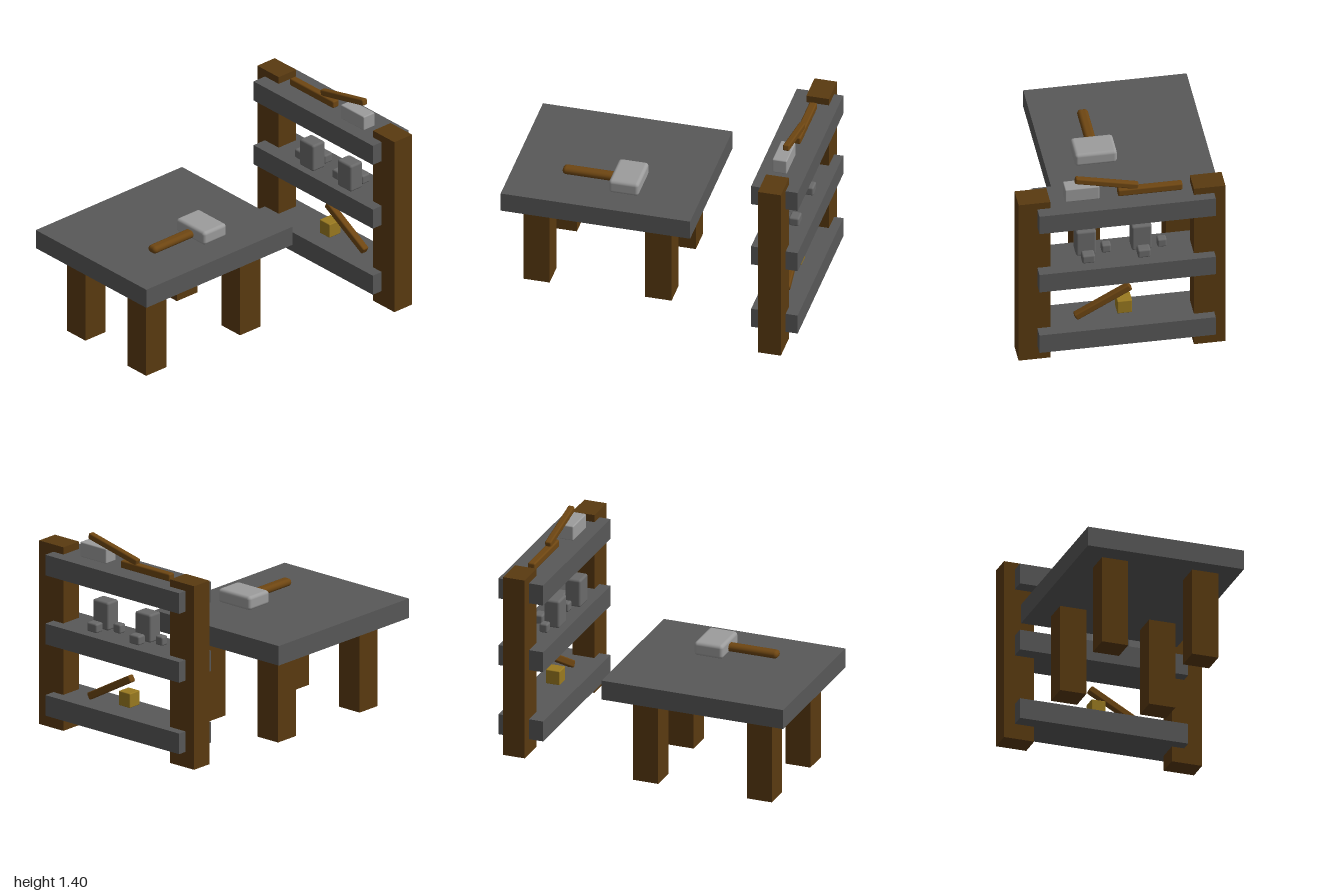
import * as THREE from 'three';
import { RoundedBoxGeometry } from 'three/addons/geometries/RoundedBoxGeometry.js';

const paint = (color) => new THREE.MeshStandardMaterial({ color });

export function createModel() {
  const model = new THREE.Group();
  const wood = paint(0x5a3a10);
  const handleWood = paint(0x6e4612);
  const slate = paint(0x585858);
  const iron = paint(0x6a6a6a);
  const steel = paint(0x9c9c9c);
  const brass = paint(0x9a7a20);

  // Box given by its [min, max] on each axis; a radius rounds its edges
  function block(parent, name, material, [x0, x1], [y0, y1], [z0, z1], radius = 0) {
    const size = [x1 - x0, y1 - y0, z1 - z0];
    const geometry = radius
      ? new RoundedBoxGeometry(...size, 3, radius)
      : new THREE.BoxGeometry(...size);
    const mesh = new THREE.Mesh(geometry, material);
    mesh.name = name;
    mesh.position.set((x0 + x1) / 2, (y0 + y1) / 2, (z0 + z1) / 2);
    parent.add(mesh);
    return mesh;
  }

  // Square rod between two points in a plane of constant z
  function rod(parent, name, [x0, y0], [x1, y1], z, thickness = 0.048) {
    const length = Math.hypot(x1 - x0, y1 - y0);
    const mesh = new THREE.Mesh(new RoundedBoxGeometry(length, thickness, thickness, 3, 0.01), handleWood);
    mesh.name = name;
    mesh.position.set((x0 + x1) / 2, (y0 + y1) / 2, z);
    mesh.rotation.z = Math.atan2(y1 - y0, x1 - x0);
    parent.add(mesh);
  }

  function group(name) {
    const g = new THREE.Group();
    g.name = name;
    model.add(g);
    return g;
  }

  // Work table
  const table = group('table');
  block(table, 'tableTop', slate, [-0.705, 0.34], [0.585, 0.715], [-0.235, 1]);
  block(table, 'frontLeftLeg', wood, [0.035, 0.21], [0, 0.59], [0.715, 0.885]);
  block(table, 'frontRightLeg', wood, [-0.562, -0.387], [0, 0.59], [0.695, 0.865]);
  block(table, 'backLeftLeg', wood, [0.035, 0.21], [0, 0.59], [-0.08, 0.092]);
  block(table, 'backRightLeg', wood, [-0.562, -0.387], [0, 0.59], [-0.08, 0.092]);

  // Hammer lying on the table
  const hammer = group('hammer');
  block(hammer, 'hammerHead', steel, [-0.115, 0.155], [0.712, 0.804], [0.152, 0.347], 0.022);
  block(hammer, 'hammerHandle', handleWood, [-0.015, 0.055], [0.725, 0.775], [0.3, 0.677], 0.024);

  // Rack: two posts and three shelves
  const rack = group('rack');
  block(rack, 'rightPost', wood, [-0.617, -0.415], [0.052, 1.275], [-0.94, -0.793]);
  block(rack, 'leftPost', wood, [0.5, 0.703], [0.052, 1.275], [-0.922, -0.772]);
  for (const y of [0.155, 0.631, 1.09]) {
    block(rack, 'shelf', slate, [-0.545, 0.583], [y, y + 0.137], [-1, -0.697]);
  }

  // Top shelf: ingot and two rods
  const top = group('topShelfItems');
  block(top, 'ingot', steel, [0.178, 0.398], [1.226, 1.325], [-0.88, -0.785], 0.008);
  rod(top, 'lyingRod', [-0.355, 1.253], [0.058, 1.253], -0.855, 0.05);
  rod(top, 'leaningRod', [-0.072, 1.288], [0.331, 1.379], -0.857, 0.042);

  // Middle shelf: two matching sets of metal blocks
  const middle = group('middleShelfItems');
  for (const dx of [0, 0.356]) {
    block(middle, 'tallBlock', iron, [-0.164 + dx, -0.034 + dx], [0.766, 0.953], [-0.847, -0.742], 0.015);
    block(middle, 'sideBlock', iron, [-0.26 + dx, -0.2 + dx], [0.766, 0.827], [-0.84, -0.785], 0.012);
    block(middle, 'backBlock', iron, [-0.142 + dx, -0.06 + dx], [0.766, 0.827], [-0.932, -0.865], 0.012);
  }

  // Bottom shelf: brass cube and a slanted rod
  const bottom = group('bottomShelfItems');
  block(bottom, 'brassCube', brass, [-0.03, 0.065], [0.314, 0.41], [-0.888, -0.793], 0.006);
  rod(bottom, 'slantedRod', [-0.022, 0.506], [0.331, 0.308], -0.858);

  return model;
}
